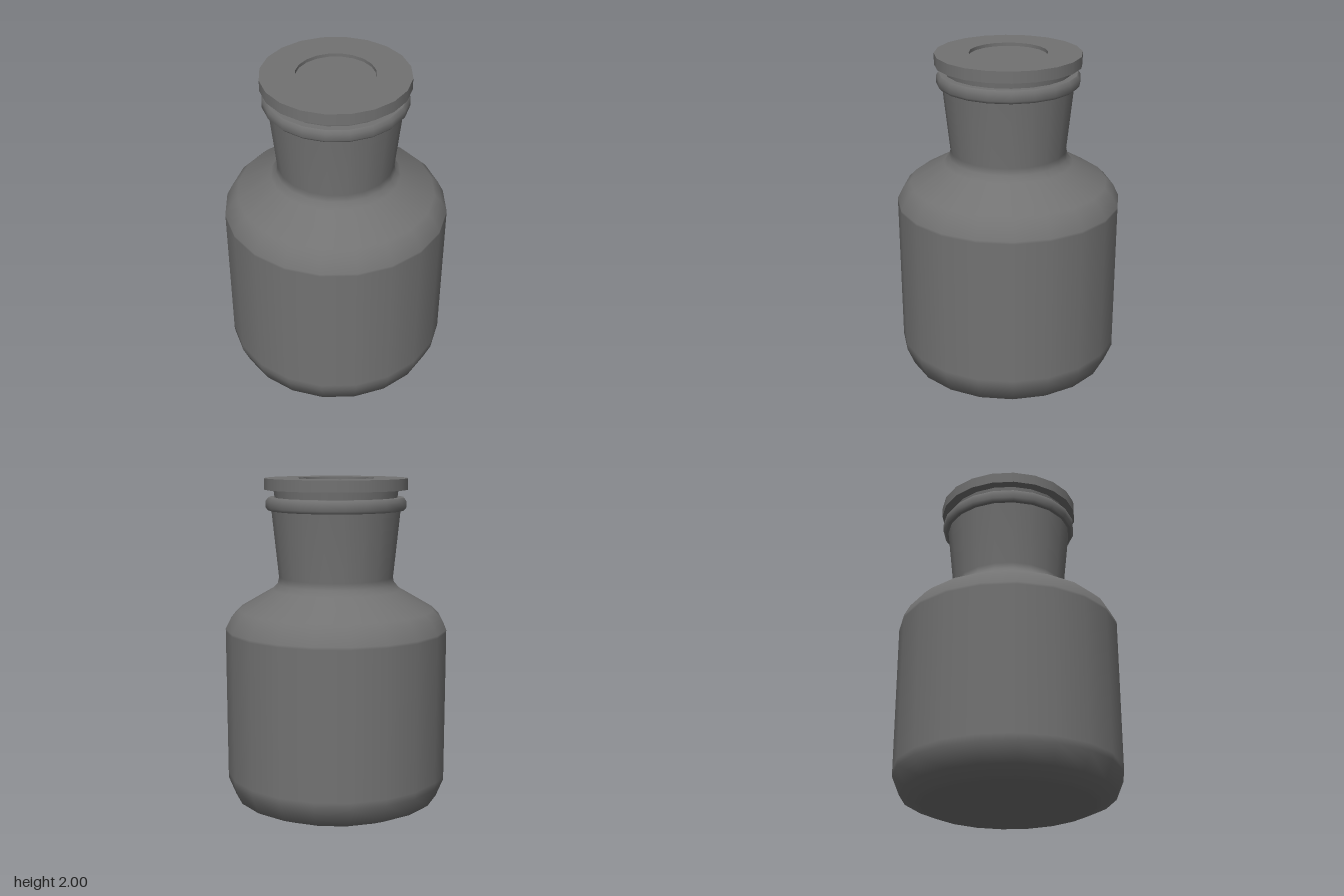
import * as THREE from 'three';
import { mergeGeometries } from 'three/addons/utils/BufferGeometryUtils.js';

const SIDES = 20;
const material = new THREE.MeshStandardMaterial({ color: 0x727272 });

// Revolves several profiles; each is smooth inside and meets the next at a sharp edge.
function turned(name, profiles) {
  const parts = profiles.map((profile) =>
    new THREE.LatheGeometry(profile.map(([r, y]) => new THREE.Vector2(r, y)), SIDES));
  const mesh = new THREE.Mesh(mergeGeometries(parts), material);
  mesh.name = name;
  return mesh;
}

// Splits a profile into single segments, so that every corner is sharp.
const sharp = (points) => points.slice(1).map((p, i) => [points[i], p]);

export function createModel() {
  const group = new THREE.Group();
  group.name = 'stopperedBottle';

  // Flat base, rounded body, sloping shoulder and flared neck
  group.add(turned('bottleBody', [
    [[0, 0], [0.515, 0]],
    [
      [0.515, 0], [0.63, 0.05], [0.675, 0.16], [0.675, 0.2],
      [0.675, 1.085], [0.675, 1.1], [0.64, 1.17], [0.595, 1.215],
      [0.388, 1.335], [0.357, 1.37], [0.348, 1.41], [0.39, 1.815],
    ],
  ]));

  // Rounded lip around the mouth
  group.add(turned('lip', [
    [[0.375, 1.81], [0.408, 1.81]],
    [[0.408, 1.81], [0.423, 1.827], [0.423, 1.868], [0.408, 1.887]],
    [[0.408, 1.887], [0.35, 1.887]],
  ]));

  // Tapered plug that sits in the neck
  group.add(turned('stopperPlug', sharp([
    [0, 1.5], [0.322, 1.5], [0.376, 1.935],
  ])));

  // Stopper disc with a shallow round recess in its top
  group.add(turned('stopperCap', sharp([
    [0.36, 1.933], [0.432, 1.933], [0.432, 2], [0.23, 2], [0.23, 1.98], [0, 1.98],
  ])));

  return group;
}
